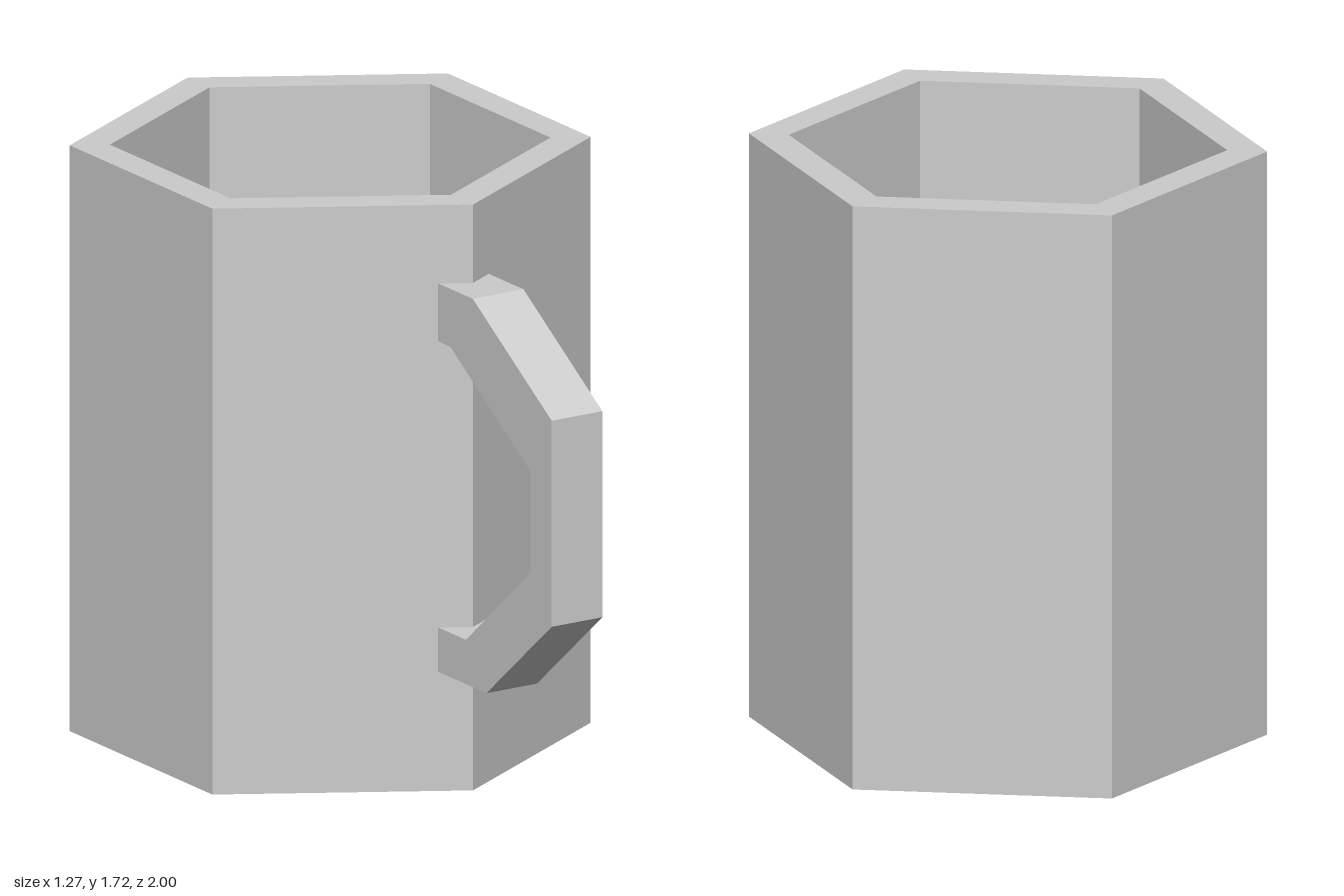
import * as THREE from 'three';

const HEIGHT = 1.72, OUTER = 0.733, INNER = 0.62, FLOOR = 0.11;
const CUP_Z = -0.267, HANDLE_WIDTH = 0.17;

export function createModel() {
  const model = new THREE.Group();
  model.name = 'mug';
  const material = new THREE.MeshStandardMaterial({ color: 0xcccccc, flatShading: true });

  // Six-sided cup: base, outer wall, rim, inner wall and inside floor
  const profile = [
    [0, 0], [OUTER, 0], [OUTER, HEIGHT],
    [INNER, HEIGHT], [INNER, FLOOR], [0, FLOOR],
  ].map(([r, y]) => new THREE.Vector2(r, y));
  const cup = new THREE.Mesh(new THREE.LatheGeometry(profile, 6), material);
  cup.name = 'cup';
  cup.position.z = CUP_Z;
  model.add(cup);

  // Angular handle: side outline (z, y) extruded across x
  const outline = [
    [0.415, 1.49], [0.595, 1.49], [1, 1.235], [1, 0.63], [0.665, 0.35], [0.415, 0.35],
    [0.415, 0.48], [0.56, 0.48], [0.89, 0.76], [0.89, 1.06], [0.48, 1.32], [0.415, 1.32],
  ].map(([z, y]) => new THREE.Vector2(z, y));
  const handleGeometry = new THREE.ExtrudeGeometry(new THREE.Shape(outline), {
    depth: HANDLE_WIDTH, bevelEnabled: false,
  });
  handleGeometry.translate(0, 0, -HANDLE_WIDTH / 2).rotateY(-Math.PI / 2);
  const handle = new THREE.Mesh(handleGeometry, material);
  handle.name = 'handle';
  model.add(handle);

  return model;
}
